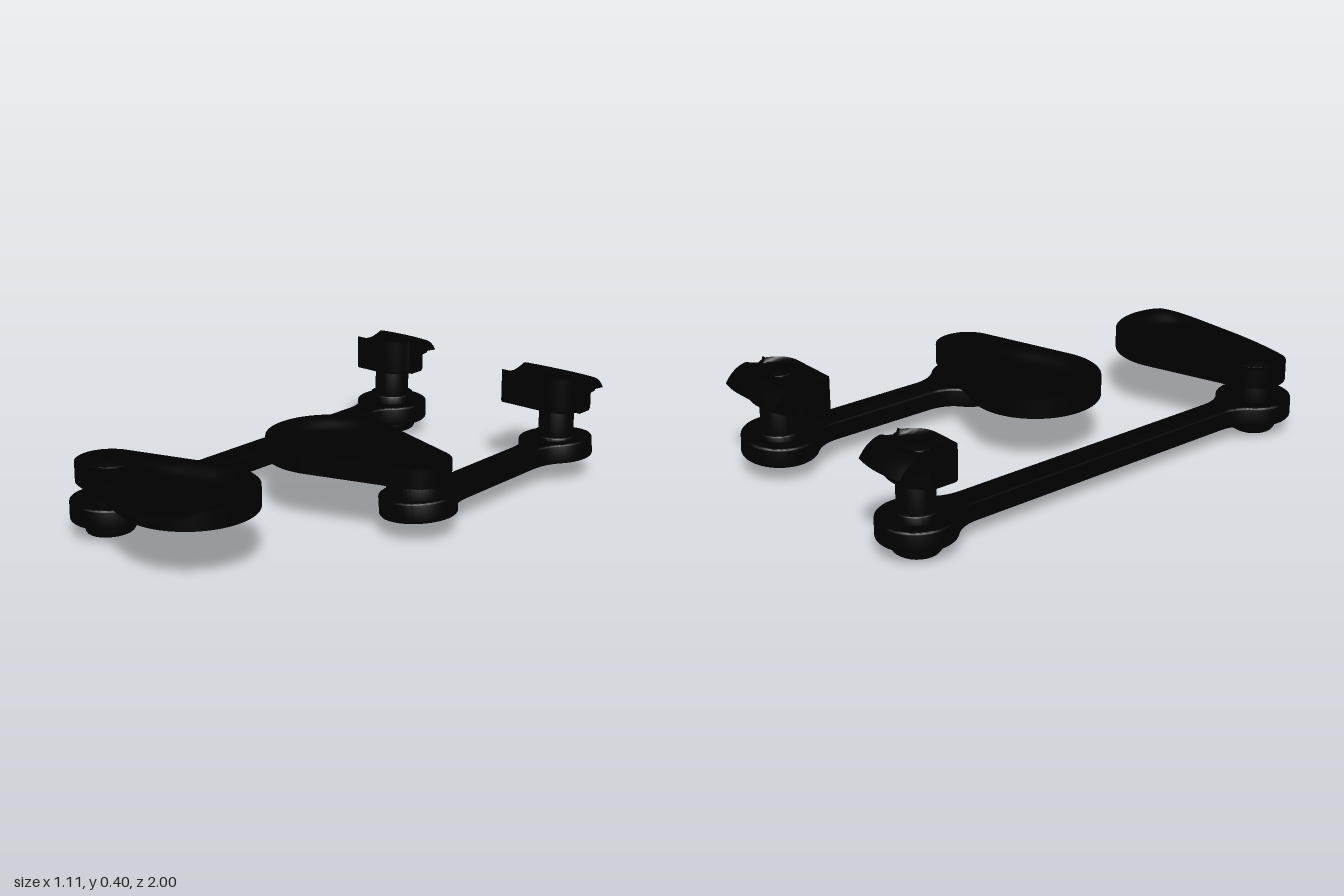
import * as THREE from 'three';
import { toCreasedNormals } from 'three/addons/utils/BufferGeometryUtils.js';

const black = new THREE.MeshStandardMaterial({ color: 0x000000 });
const back = -0.842; // z of the rear pivots

function add(parent, name, geometry, x = 0, y = 0, z = 0) {
  const mesh = new THREE.Mesh(geometry, black);
  mesh.name = name;
  mesh.position.set(x, y, z);
  parent.add(mesh);
  return mesh;
}

// Upright round part with softly rounded rims, from y0 to y1
function roundPart(r, y0, y1, bevel = 0.006) {
  const pts = [new THREE.Vector2(0, y0)];
  for (let i = 0; i <= 4; i++) {
    const a = (i / 4) * Math.PI / 2;
    pts.push(new THREE.Vector2(r - bevel + bevel * Math.sin(a), y0 + bevel - bevel * Math.cos(a)));
  }
  for (let i = 0; i <= 4; i++) {
    const a = (i / 4) * Math.PI / 2;
    pts.push(new THREE.Vector2(r - bevel + bevel * Math.cos(a), y1 - bevel + bevel * Math.sin(a)));
  }
  pts.push(new THREE.Vector2(0, y1));
  return toCreasedNormals(new THREE.LatheGeometry(pts, 48), 0.6);
}

// Flat bar along z with a round eye at each end, blended by fillets
function armGeometry(z0, z1, thickness) {
  const h = 0.052, r = 0.142, k = r * Math.SQRT1_2, f = 0.22;
  const s = new THREE.Shape();
  s.moveTo(-h, z0 + f);
  s.lineTo(-h, z1 - f);
  s.quadraticCurveTo(-h, z1 - 0.145, -k, z1 - k);
  s.absarc(0, z1, r, Math.PI * 1.25, -Math.PI * 0.25, true);
  s.quadraticCurveTo(h, z1 - 0.145, h, z1 - f);
  s.lineTo(h, z0 + f);
  s.quadraticCurveTo(h, z0 + 0.145, k, z0 + k);
  s.absarc(0, z0, r, Math.PI * 0.25, -Math.PI * 1.25, true);
  s.quadraticCurveTo(-h, z0 + 0.145, -h, z0 + f);
  const b = 0.008;
  const g = new THREE.ExtrudeGeometry(s, {
    depth: thickness - 2 * b, bevelSize: b, bevelThickness: b, bevelOffset: -b,
    bevelSegments: 3, curveSegments: 32,
  });
  g.translate(0, 0, b - thickness / 2);
  g.rotateX(Math.PI / 2);
  return toCreasedNormals(g, 0.6);
}

// Teardrop touch pad: wide lobe at the origin, neck towards -x, dished top
function padGeometry(rollOff) {
  const R = 0.245, r = 0.122, neck = -0.41, y0 = 0.205, y1 = 0.28;
  const phi = Math.acos((R - r) / neck);
  const outline = [];
  for (let i = 0; i <= 48; i++) {
    const a = -phi + (2 * phi * i) / 48;
    outline.push([R * Math.cos(a), R * Math.sin(a)]);
  }
  const join = (a, b) => { // points along a straight flank
    for (let i = 1; i < 8; i++) {
      outline.push([a[0] + (b[0] - a[0]) * i / 8, a[1] + (b[1] - a[1]) * i / 8]);
    }
  };
  const small = [];
  for (let i = 0; i <= 24; i++) {
    const a = phi + (2 * (Math.PI - phi) * i) / 24;
    small.push([neck + r * Math.cos(a), r * Math.sin(a)]);
  }
  join(outline[48], small[0]);
  outline.push(...small);
  join(small[24], outline[0]);

  const top = (x, z, s) => {
    const dish = 0.034 * (1 - THREE.MathUtils.smoothstep(s, 0.5, 0.93))
      * THREE.MathUtils.smoothstep(x, -0.42, -0.12);
    const t = Math.max(0, (z - 0.1) / 0.145);
    return y1 - dish - (rollOff ? 0.056 * t ** 1.4 * (1 - dish * 12) : 0);
  };
  const layers = [[0, 0], [1, 0], [1, 1]];
  for (let i = 19; i >= 0; i--) layers.push([i / 20, 1]);
  const n = outline.length, pos = [], index = [];
  for (const [s, isTop] of layers) {
    for (const [x, z] of outline) pos.push(x * s, isTop ? top(x * s, z * s, s) : y0, z * s);
  }
  for (let l = 0; l < layers.length - 1; l++) {
    for (let j = 0; j < n; j++) {
      const a = l * n + j, b = l * n + (j + 1) % n, c = a + n, d = b + n;
      if (layers[l][0] > 0) index.push(a, c, b);
      if (layers[l + 1][0] > 0) index.push(b, c, d);
    }
  }
  const g = new THREE.BufferGeometry();
  g.setAttribute('position', new THREE.Float32BufferAttribute(pos, 3));
  g.setIndex(index);
  return toCreasedNormals(g, 0.6);
}

// Saddle with a grooved top and a drooping rear lip; x = 0 is the post.
// The block is rounded about the post but keeps a square front corner at -x.
function saddleGeometry(x0, x1) {
  const s = new THREE.Shape(); // x is z of the model
  s.moveTo(-0.765, 0.268);
  s.quadraticCurveTo(-0.75, 0.268, -0.75, 0.283);
  s.lineTo(-0.75, 0.405);
  s.quadraticCurveTo(-0.78, 0.386, -0.83, 0.384);
  s.quadraticCurveTo(-0.87, 0.387, -0.9, 0.4);
  s.quadraticCurveTo(-0.96, 0.395, -1.0, 0.34);
  s.lineTo(-0.945, 0.345);
  s.quadraticCurveTo(-0.934, 0.345, -0.934, 0.335);
  s.lineTo(-0.934, 0.29);
  s.quadraticCurveTo(-0.934, 0.268, -0.912, 0.268);
  const g = new THREE.ExtrudeGeometry(s, {
    depth: x1 - x0, steps: 36, bevelEnabled: false, curveSegments: 10,
  });
  g.rotateY(-Math.PI / 2);
  g.translate(x1, 0, 0);
  const p = g.attributes.position;
  for (let i = 0; i < p.count; i++) {
    const x = p.getX(i), z = p.getZ(i) - back;
    const edge = (x / (x > 0 ? x1 : x0)) ** 2;
    const round = Math.sqrt(Math.max(0.03, 1 - (x / 0.1) ** 2));
    let k = 1;
    if (z > 0 && x > 0) k = round;
    if (z < 0) k = 1 - 0.1 * edge;
    if (z < 0 && p.getY(i) < 0.338) k = x > 0 ? 0.55 + 0.45 * round : 1 - 0.8 * edge;
    p.setZ(i, back + z * k);
  }
  return toCreasedNormals(g, 0.6);
}

export function createModel() {
  const model = new THREE.Group();

  // Long lever on the right, with pivot buttons beneath
  const longLever = new THREE.Group();
  longLever.name = 'longLever';
  longLever.position.x = -0.416;
  model.add(longLever);
  add(longLever, 'longArm', armGeometry(back, 0.752, 0.075), 0, 0.099, 0);
  for (const z of [back, 0.752]) {
    const button = add(longLever, 'pivotButton', roundPart(0.092, -0.05, 0.05, 0.022), 0.002, 0.058, z);
    button.rotation.z = 0.08;
  }
  add(longLever, 'frontPost', roundPart(0.092, 0.12, 0.281, 0.003), 0.001, 0, 0.752);

  // Short lever on the left, leaning slightly inwards
  const shortLever = new THREE.Group();
  shortLever.name = 'shortLever';
  shortLever.position.set(0.413, 0.114, 0);
  shortLever.rotation.z = 0.08;
  model.add(shortLever);
  add(shortLever, 'shortArm', armGeometry(back, 0.018, 0.076));
  add(shortLever, 'middlePost', roundPart(0.112, 0.02, 0.102), 0, 0, 0.018);

  // Touch pads
  add(model, 'frontPad', padGeometry(true), 0, 0, 0.752);
  add(model, 'middlePad', padGeometry(false), 0, 0, 0.018).rotation.y = Math.PI;

  // Posts and saddles at the back ends
  for (const [x, x0, x1] of [[-0.416, -0.11, 0.116], [0.413, -0.2, 0.116]]) {
    add(model, 'backCollar', roundPart(0.088, 0.12, 0.168), x, 0, back);
    add(model, 'backPost', roundPart(0.068, 0.14, 0.394, 0.003), x, 0, back);
    add(model, 'saddle', saddleGeometry(x0, x1), x, 0, 0);
  }
  return model;
}
